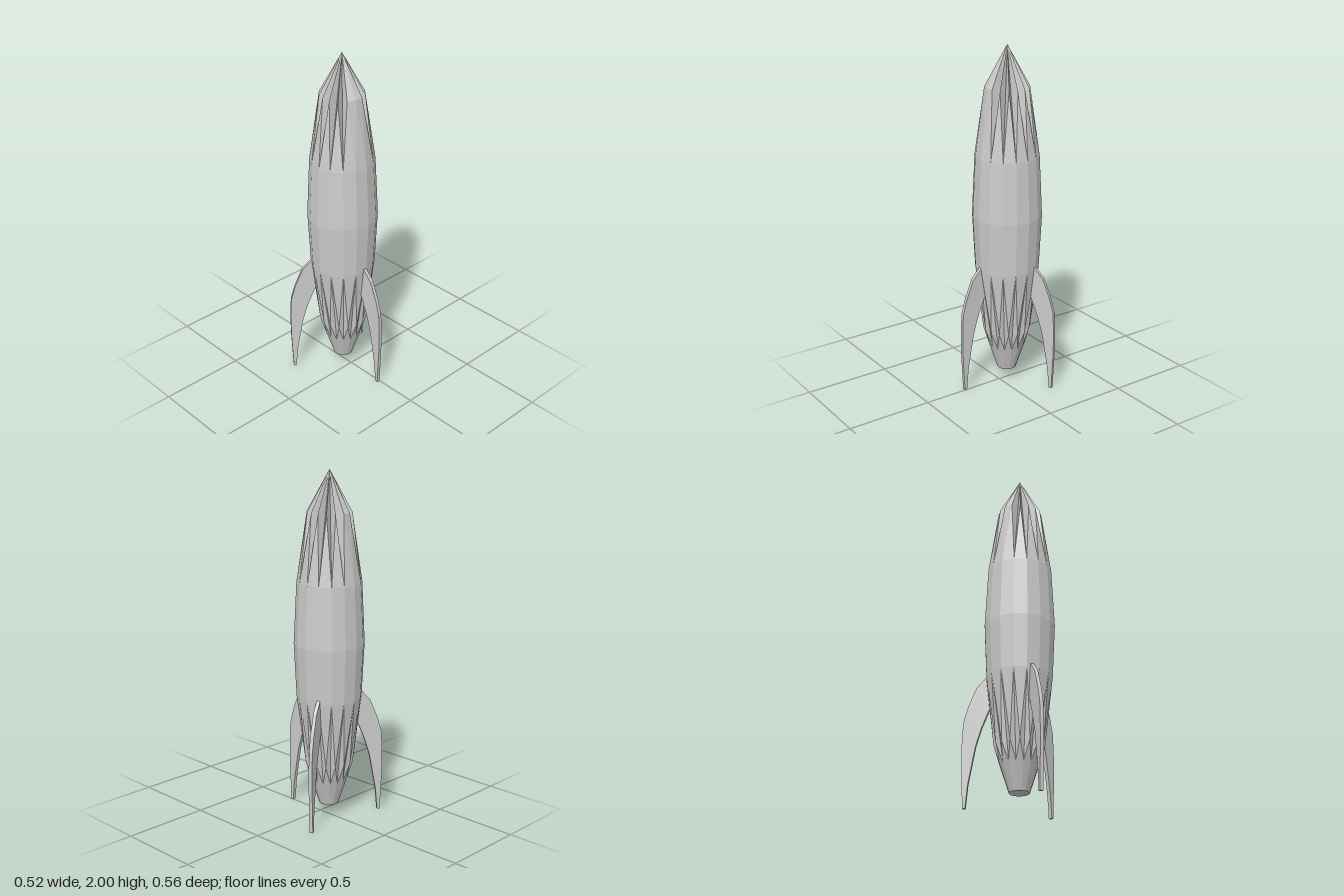
import * as THREE from 'three';

const SIDES = 16;
const STEP = (Math.PI * 2) / SIDES;
const PHASE = 0.052;

// Ring of points round the axis; shift is in fractions of a side
function ring(y, r, shift = 0) {
  return (i) => {
    const a = PHASE + (i + shift) * STEP;
    return [r * Math.cos(a), y, -r * Math.sin(a)];
  };
}

function bodyGeometry() {
  const pos = [];
  const tri = (...pts) => pts.forEach((p) => pos.push(...p));
  const quad = (a, b, c, d) => { tri(a, b, c); tri(a, c, d); };

  const tip = [0, 2, 0];
  const noseRidge = ring(1.77, 0.126, 0.5);
  const shoulder = ring(1.38, 0.183);
  const middle = ring(1.03, 0.2);
  const waist = ring(0.72, 0.185);
  const tailRidge = ring(0.33, 0.138, 0.5);
  const tail = ring(0.22, 0.105);
  const nozzle = ring(0.07, 0.056);
  const smoothSides = new Set([0, 8, 15]); // nose sides without a fold

  for (let i = 0; i < SIDES; i++) {
    const j = i + 1;
    // nose: ridges between creases running up to the tip
    tri(shoulder(i), shoulder(j), noseRidge(i));
    if (smoothSides.has(i)) {
      tri(noseRidge(i - 1), noseRidge(i), tip);
      tri(noseRidge(i - 1), shoulder(i), noseRidge(i));
    } else {
      tri(noseRidge(i - 1), shoulder(i), tip);
      tri(shoulder(i), noseRidge(i), tip);
    }
    // barrel
    quad(middle(i), middle(j), shoulder(j), shoulder(i));
    quad(waist(i), waist(j), middle(j), middle(i));
    // tail: four facets round each ridge point
    const around = [tail(i), tail(j), waist(j), waist(i)];
    around.forEach((p, k) => tri(p, around[(k + 1) % 4], tailRidge(i)));
    quad(nozzle(i), nozzle(j), tail(j), tail(i));
    // flat underside
    tri(nozzle(j), nozzle(i), [0, 0.07, 0]);
  }

  const geo = new THREE.BufferGeometry();
  geo.setAttribute('position', new THREE.Float32BufferAttribute(pos, 3));
  geo.computeVertexNormals();
  return geo;
}

// Swept fin outline: distance from the axis, height
function finGeometry() {
  const outline = [
    [0.15, 0.75], [0.185, 0.74], [0.24, 0.68], [0.285, 0.57], [0.31, 0.48],
    [0.316, 0.35], [0.315, 0.22], [0.305, 0], [0.29, 0], [0.278, 0.13],
    [0.24, 0.34], [0.21, 0.44], [0.17, 0.54], [0.15, 0.58],
  ];
  const shape = new THREE.Shape(outline.map(([x, y]) => new THREE.Vector2(x, y)));
  const geo = new THREE.ExtrudeGeometry(shape, { depth: 0.02, bevelEnabled: false });
  return geo.translate(0, 0, -0.01);
}

export function createModel() {
  const material = new THREE.MeshStandardMaterial({ color: 0xcccccc, flatShading: true });
  const rocket = new THREE.Group();
  rocket.name = 'rocket';
  rocket.position.set(-0.06, 0, 0.01);

  const body = new THREE.Mesh(bodyGeometry(), material);
  body.name = 'body';
  rocket.add(body);

  // three fins round the tail
  const fin = finGeometry();
  [['leftFin', 0], ['backFin', 115], ['frontFin', -123]].forEach(([name, angle]) => {
    const mesh = new THREE.Mesh(fin, material);
    mesh.name = name;
    mesh.rotation.y = THREE.MathUtils.degToRad(angle);
    rocket.add(mesh);
  });

  const model = new THREE.Group();
  model.name = 'model';
  model.add(rocket);
  return model;
}
